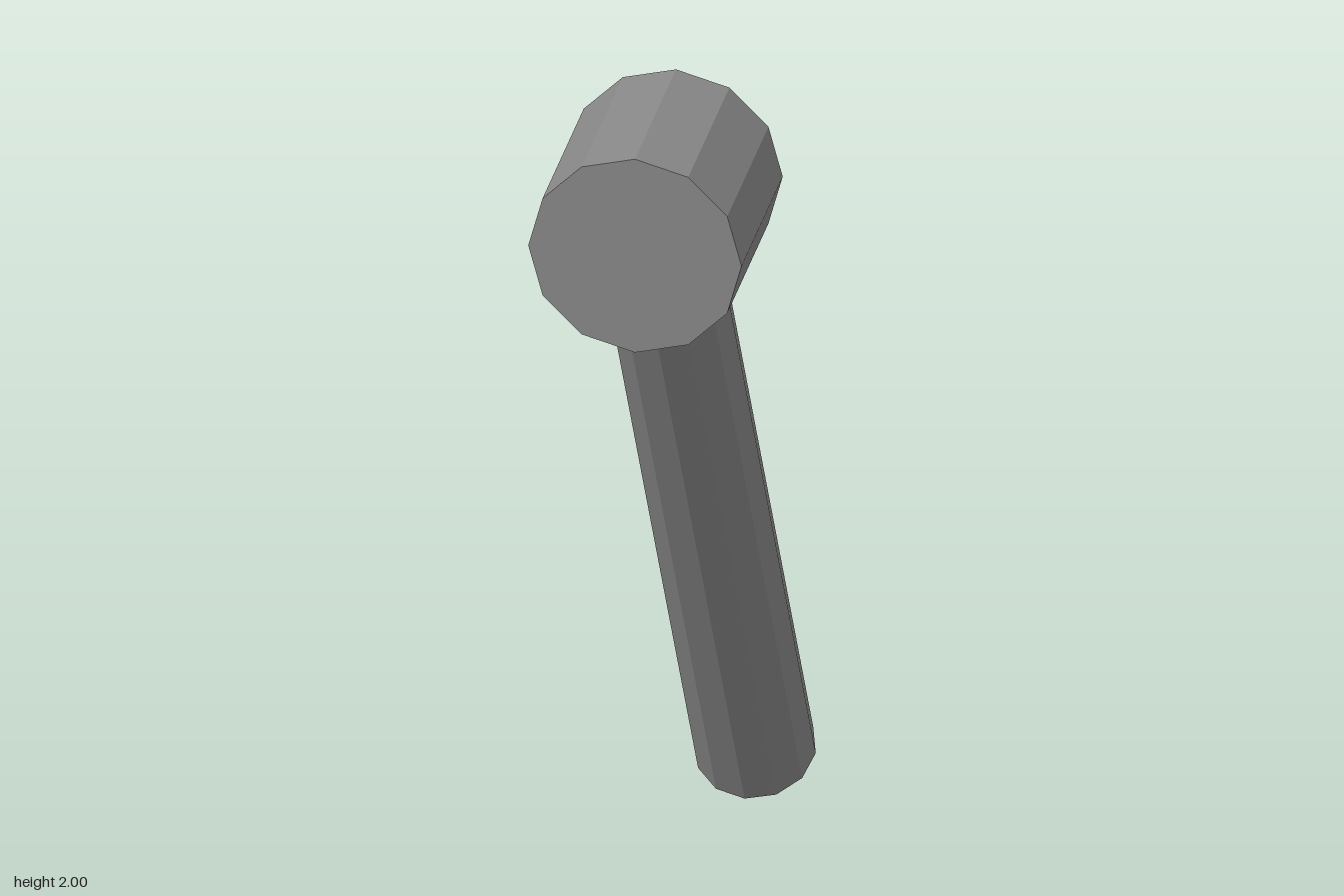
import * as THREE from 'three';

export function createModel() {
  const model = new THREE.Group();
  const material = new THREE.MeshStandardMaterial({ color: 0x888888, flatShading: true });
  const SIDES = 12;

  const addCylinder = (name, radius, length) => {
    const mesh = new THREE.Mesh(new THREE.CylinderGeometry(radius, radius, length, SIDES), material);
    mesh.name = name;
    model.add(mesh);
    return mesh;
  };

  // Head: short drum lying along z
  const head = addCylinder('head', 0.22, 0.4);
  head.rotation.x = Math.PI / 2;
  head.position.set(0, 1.78, 0.44);

  // Handle: long shaft leaning 30 degrees forward, its top buried in the head
  const tilt = Math.PI / 6;
  const length = 1.96;
  const handle = addCylinder('handle', 0.124, length);
  handle.rotation.x = tilt;
  handle.position.set(0, 0.062 + (length / 2) * Math.cos(tilt), -0.533 + (length / 2) * Math.sin(tilt));

  return model;
}
